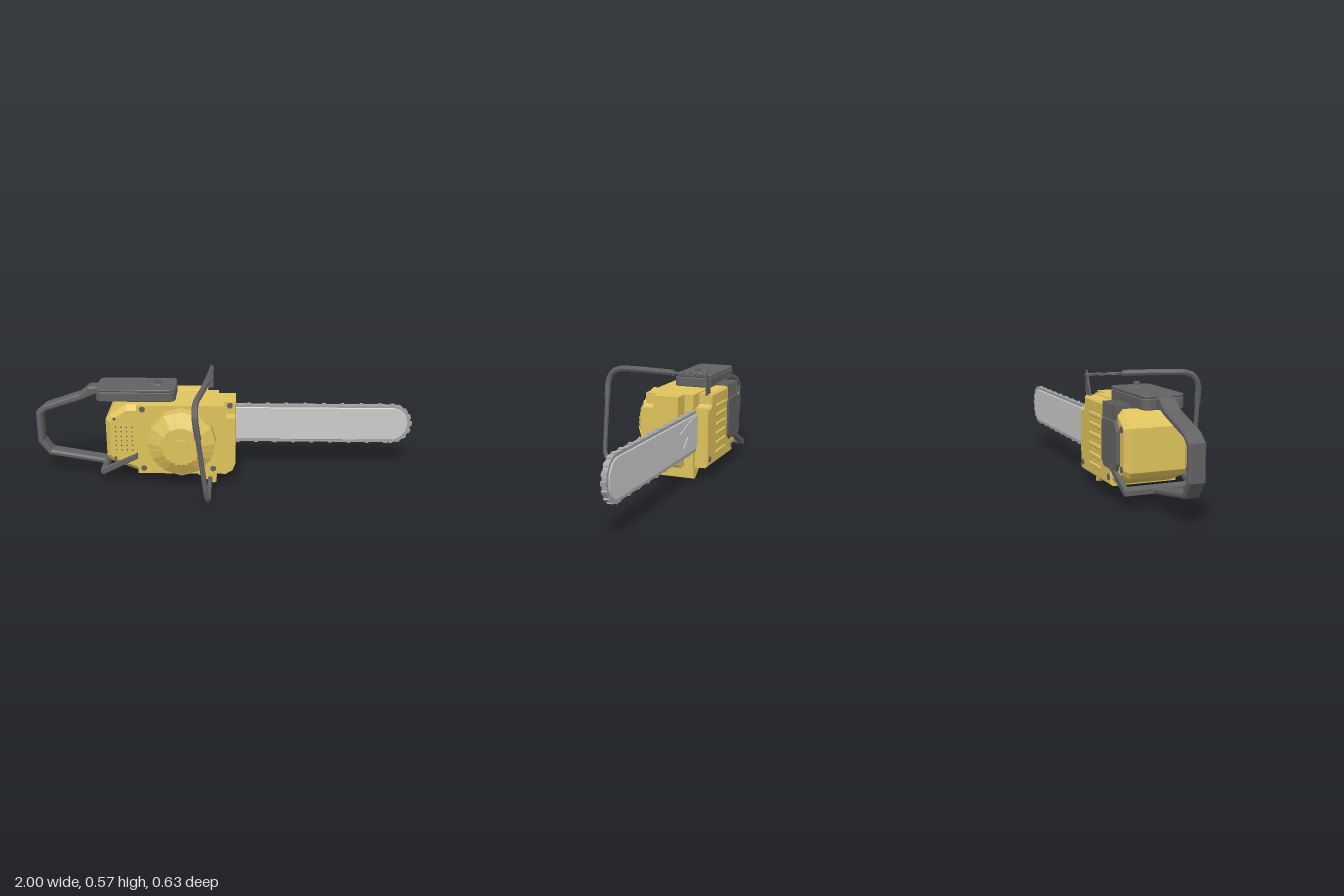
import * as THREE from 'three';

const mat = (color, side = THREE.FrontSide) =>
  new THREE.MeshStandardMaterial({ color, side, flatShading: true });
const yellow = mat(0xdfc35c), dark = mat(0x626262), steel = mat(0xcccccc), chainGrey = mat(0xa4a4a4);

export function createModel() {
  const model = new THREE.Group();

  const add = (name, geo, material, x = 0, y = 0, z = 0) => {
    const m = new THREE.Mesh(geo, material);
    m.name = name;
    m.position.set(x, y, z);
    model.add(m);
    return m;
  };
  const box = (name, material, x0, x1, y0, y1, z0, z1) =>
    add(name, new THREE.BoxGeometry(x1 - x0, y1 - y0, z1 - z0), material, (x0 + x1) / 2, (y0 + y1) / 2, (z0 + z1) / 2);
  const outline = pts => new THREE.Shape(pts.map(p => new THREE.Vector2(...p)));
  // side profile extruded from z0 to z1, bevel kept inside the outline
  const slab = (name, material, shape, z0, z1, b = 0) => {
    const geo = new THREE.ExtrudeGeometry(shape, {
      depth: z1 - z0 - 2 * b, bevelEnabled: b > 0, bevelThickness: b, bevelSize: b,
      bevelOffset: -b, bevelSegments: 1, curveSegments: 5
    });
    return add(name, geo, material, 0, 0, z0 + b);
  };
  const roundRect = (x0, x1, y0, y1, r) => {
    const s = new THREE.Shape();
    s.absarc(x1 - r, y1 - r, r, 0, Math.PI / 2);
    s.absarc(x0 + r, y1 - r, r, Math.PI / 2, Math.PI);
    s.absarc(x0 + r, y0 + r, r, Math.PI, Math.PI * 1.5);
    s.absarc(x1 - r, y0 + r, r, Math.PI * 1.5, Math.PI * 2);
    return s;
  };
  const discZ = (name, material, x, y, z0, z1, r0, r1 = r0, n = 12) => {
    const g = new THREE.CylinderGeometry(r1, r0, z1 - z0, n).rotateX(Math.PI / 2);
    return add(name, g, material, x, y, (z0 + z1) / 2);
  };
  const tube = (name, pts, r, n = 32) => {
    const c = new THREE.CatmullRomCurve3(pts.map(p => new THREE.Vector3(...p)), false, 'catmullrom', 0.15);
    return add(name, new THREE.TubeGeometry(c, n, r, 8), mat(0x626262, THREE.DoubleSide));
  };

  // engine housing: core, front slab and back slab with pocketed corners
  slab('housingCore', yellow, outline([[-0.455, 0.07], [0, 0.07], [0.035, 0.09], [0.05, 0.13], [0.05, 0.445], [-0.455, 0.445]]), -0.18, -0.045);
  slab('housingFront', yellow, outline([[-0.455, 0.07], [0, 0.07], [0.035, 0.09], [0.05, 0.13], [0.05, 0.38],
    [0, 0.38], [-0.01, 0.39], [-0.01, 0.445], [-0.455, 0.445]]), -0.045, 0.02);
  slab('housingBack', yellow, outline([[-0.455, 0.07], [-0.04, 0.07], [-0.04, 0.445], [-0.455, 0.445]]), -0.23, -0.18);
  slab('housingBackCover', yellow, outline([[-0.455, 0.07], [-0.04, 0.07], [-0.04, 0.38], [-0.09, 0.38],
    [-0.1, 0.39], [-0.1, 0.445], [-0.455, 0.445]]), -0.306, -0.23, 0.01);
  slab('rearHousing', yellow, outline([[-0.43, 0.075], [-0.455, 0.075], [-0.595, 0.13], [-0.618, 0.16], [-0.618, 0.36],
    [-0.595, 0.39], [-0.51, 0.44], [-0.43, 0.44]]), -0.298, 0.015, 0.025);

  // rows of vent holes and small screws on the rear housing
  for (let r = 0; r < 6; r++)
    for (let c = 0; c < 4; c++)
      discZ('ventHole', dark, -0.565 + c * 0.028, 0.2 + r * 0.025, 0.012, 0.0165, 0.004, 0.004, 6);
  for (const y of [0.155, 0.37]) discZ('smallScrew', dark, -0.57, y, 0.01, 0.019, 0.008, 0.008, 8);

  // bolts
  for (const [x, y, z] of [[-0.425, 0.425, 0.02], [-0.425, 0.1, 0.02], [-0.065, 0.1, 0.02], [0.02, 0.425, -0.045]])
    discZ('frontBolt', dark, x, y, z - 0.01, z + 0.004, 0.015);
  for (const [x, y, z] of [[-0.08, 0.11, -0.306], [-0.43, 0.11, -0.306], [-0.57, 0.35, -0.298], [-0.57, 0.17, -0.298]])
    discZ('backBolt', dark, x, y, z - 0.004, z + 0.01, 0.015);

  // round starter cover with radial ribs
  const cx = -0.225, cy = 0.258;
  discZ('starterRim', yellow, cx, cy, 0.015, 0.068, 0.177);
  discZ('starterCone', yellow, cx, cy, 0.068, 0.11, 0.174, 0.1);
  discZ('starterHub', yellow, cx, cy, 0.105, 0.125, 0.042);
  for (let i = 0; i < 12; i++) {
    const rib = new THREE.Group();
    rib.name = 'starterRib';
    const m = new THREE.Mesh(new THREE.BoxGeometry(0.08, 0.014, 0.012), yellow);
    m.name = 'rib';
    m.position.set(0.132, 0, 0.088);
    m.rotation.y = Math.atan2(0.042, 0.074);
    rib.add(m);
    rib.position.set(cx, cy, 0);
    rib.rotation.z = (i + 0.5) * Math.PI / 6;
    model.add(rib);
  }

  // back side: cooling ribs and dark exhaust cover
  for (let i = 0; i < 6; i++)
    slab('coolingRib', yellow, roundRect(-0.325, -0.175, 0.115 + i * 0.049, 0.137 + i * 0.049, 0.01), -0.313, -0.298, 0.005);
  slab('exhaustCover', dark, outline([[-0.52, 0.15], [-0.38, 0.15], [-0.35, 0.18], [-0.35, 0.36], [-0.37, 0.385],
    [-0.52, 0.385], [-0.55, 0.34], [-0.55, 0.19]]), -0.314, -0.28, 0.008);
  box('exhaustBlock', dark, -0.52, -0.36, 0.37, 0.452, -0.308, -0.2);
  for (let i = 0; i < 5; i++) box('exhaustFin', dark, -0.505 + i * 0.03, -0.495 + i * 0.03, 0.39, 0.455, -0.313, -0.23);

  // top air filter cover in two layers, with knob
  const lid = (name, y0, y1, inset) => {
    const m = slab(name, dark, roundRect(-0.67 + inset, -0.26 - inset, 0.037 + inset, 0.24 - inset, 0.035), 0, y1 - y0, 0.003);
    m.rotation.x = -Math.PI / 2;
    m.position.y = y0 + 0.003;
  };
  lid('filterBase', 0.445, 0.494, 0);
  lid('filterSeam', 0.488, 0.502, 0.006);
  lid('filterLid', 0.497, 0.509, 0);
  add('knobBase', new THREE.CylinderGeometry(0.024, 0.034, 0.008, 12), dark, -0.355, 0.512, -0.135);
  add('knob', new THREE.CylinderGeometry(0.017, 0.017, 0.022, 8), dark, -0.355, 0.521, -0.135);

  // rear handle loop
  slab('rearHandle', dark, outline([[-0.64, 0.505], [-0.715, 0.5], [-0.765, 0.46], [-0.95, 0.397], [-1, 0.355], [-1, 0.19],
    [-0.945, 0.115], [-0.64, 0.065], [-0.63, 0.092], [-0.93, 0.143], [-0.968, 0.2], [-0.968, 0.34], [-0.94, 0.366],
    [-0.75, 0.428], [-0.69, 0.455], [-0.64, 0.46]]), -0.18, -0.1, 0.009);

  // U-shaped bracket joining the handle to both sides of the housing
  for (const z of [0.005, -0.315])
    slab('bracketArm', dark, outline([[-0.65, 0.07], [-0.635, 0.064], [-0.455, 0.155], [-0.455, 0.185], [-0.65, 0.092]]), z, z + 0.024, 0.003);
  slab('bracketBar', dark, outline([[-0.65, 0.07], [-0.635, 0.064], [-0.615, 0.076], [-0.62, 0.104], [-0.65, 0.092]]), -0.312, 0.026);

  // front wrap-around handle: thin rod, grip sleeve and lower tube
  tube('handleRod', [[-0.08, 0.543, -0.293], [-0.092, 0.543, -0.09]], 0.007, 1);
  tube('handleGrip', [[-0.091, 0.543, -0.1], [-0.12, 0.543, 0.1], [-0.138, 0.54, 0.21], [-0.142, 0.525, 0.26],
    [-0.142, 0.495, 0.287], [-0.138, 0.455, 0.298], [-0.127, 0.375, 0.298]], 0.016);
  tube('handleLower', [[-0.128, 0.38, 0.298], [-0.093, 0.1, 0.298], [-0.087, 0.058, 0.287], [-0.084, 0.033, 0.26],
    [-0.083, 0.025, 0.225], [-0.083, 0.025, -0.03]], 0.0125);
  slab('handGuard', dark, outline([[-0.14, 0.44], [-0.072, 0.44], [-0.07, 0.555], [-0.076, 0.566], [-0.088, 0.566],
    [-0.094, 0.545]]), -0.287, -0.281);

  // foot under the housing
  slab('foot', yellow, outline([[-0.17, 0.075], [-0.165, 0.062], [-0.085, 0.008], [-0.065, 0], [-0.05, 0.006], [-0.05, 0.075]]), -0.23, -0.02);

  // guide bar, chain around it and chain teeth
  const zBar = -0.233;
  slab('chain', chainGrey, roundRect(-0.2, 0.985, 0.155, 0.365, 0.098), zBar - 0.012, zBar + 0.012);
  slab('guideBar', steel, roundRect(-0.2, 0.97, 0.168, 0.352, 0.085), zBar - 0.0165, zBar + 0.0165, 0.004);
  const tooth = (x, y, a) => {
    const m = add('chainTooth', new THREE.BoxGeometry(0.02, 0.012, 0.026), chainGrey, x, y, zBar);
    m.rotation.z = a;
  };
  for (let i = 0; i < 9; i++) {
    tooth(0.02 + i * 0.1, 0.364, -0.15);
    tooth(0.06 + i * 0.1, 0.156, Math.PI - 0.15);
  }
  for (let i = 0; i < 9; i++) {
    const a = Math.PI * (0.5 - i / 8);
    tooth(0.887 + 0.101 * Math.cos(a), 0.26 + 0.103 * Math.sin(a), a - Math.PI / 2 - 0.15);
  }

  // bucking spikes on both faces of the bar
  for (const z of [zBar + 0.0155, zBar - 0.0205])
    slab('buckingSpikes', steel, outline([[-0.06, 0.345], [0.04, 0.34], [0.2, 0.293], [0.1, 0.275], [0.09, 0.26],
      [0.15, 0.215], [0.05, 0.222], [-0.06, 0.18]]), z, z + 0.005);

  return model;
}
